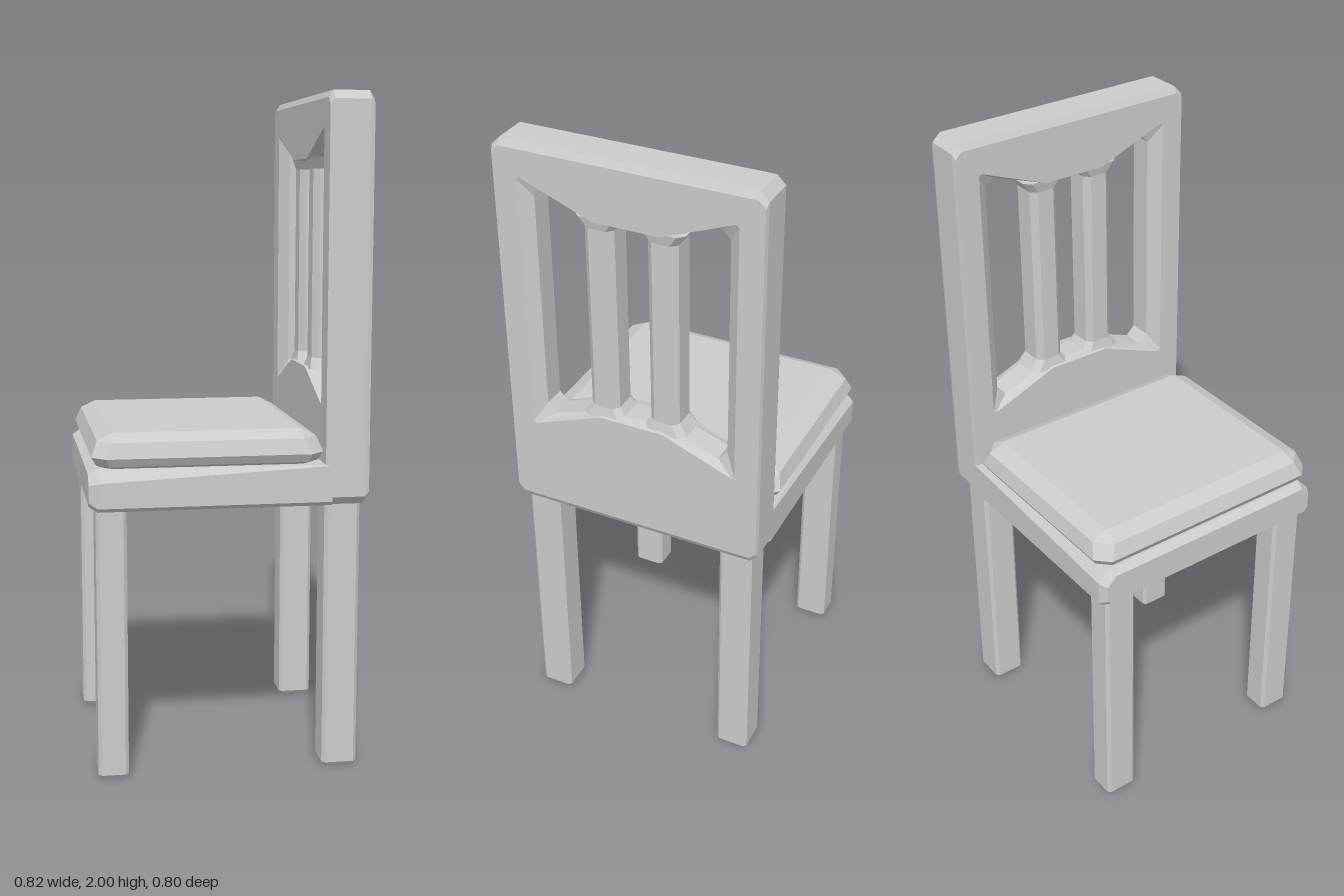
import * as THREE from 'three';

const X = new THREE.Vector3(1, 0, 0), Y = new THREE.Vector3(0, 1, 0), Z = new THREE.Vector3(0, 0, 1);
// Local z becomes the run direction of the part
const ALONG_X = new THREE.Matrix4().makeBasis(Y, Z, X); // outline is [y, z]
const ALONG_Y = new THREE.Matrix4().makeBasis(Z, X, Y); // outline is [z, x]

const material = new THREE.MeshStandardMaterial({ color: 0xcccccc, flatShading: true });

// Skin between outlines [{ t, pts }], counter-clockwise around the run direction
function loft(rings, capped = true) {
  const out = [];
  const put = (r, p) => out.push(p[0], p[1], r.t);
  const n = rings[0].pts.length;
  for (let i = 0; i + 1 < rings.length; i++) {
    const r = rings[i], s = rings[i + 1];
    for (let j = 0; j < n; j++) {
      const k = (j + 1) % n;
      put(r, r.pts[j]); put(r, r.pts[k]); put(s, s.pts[k]);
      put(r, r.pts[j]); put(s, s.pts[k]); put(s, s.pts[j]);
    }
  }
  if (capped) {
    const a = rings[0], b = rings[rings.length - 1];
    for (let j = 1; j + 1 < n; j++) {
      put(a, a.pts[0]); put(a, a.pts[j + 1]); put(a, a.pts[j]);
      put(b, b.pts[0]); put(b, b.pts[j]); put(b, b.pts[j + 1]);
    }
  }
  const g = new THREE.BufferGeometry();
  g.setAttribute('position', new THREE.Float32BufferAttribute(out, 3));
  g.computeVertexNormals();
  return g;
}

// Rectangle (half sizes a, b) with corners cut by c
const octagon = (a, b, c) => [
  [a, c - b], [a, b - c], [a - c, b], [c - a, b],
  [-a, b - c], [-a, c - b], [c - a, -b], [a - c, -b],
];

function part(name, geometry, axis, x, y, z) {
  const mesh = new THREE.Mesh(geometry.applyMatrix4(axis), material);
  mesh.name = name;
  mesh.position.set(x, y, z);
  return mesh;
}

// Six-sided window outline, taller at its sides: outer corner [u, v] cut by c
function windowOutline(u, v, c, mid) {
  const half = [[mid, 0.1], [u, v - c], [u - c, v], [c - u, v], [-u, v - c], [-mid, 0.1]];
  return [...half, ...half.map(([p, q]) => [-p, -q])].map(([p, q]) => [p + 0.095, q]);
}

function createBackrest() {
  const group = new THREE.Group();
  group.name = 'backrest';
  const at = [0.345, 1.405, 0];
  const depth = 0.065;

  // Outer rim, chamfered on all edges
  const face = octagon(0.575, 0.396, 0.02), full = octagon(0.595, 0.4, 0.025);
  group.add(part('backrestRim', loft([
    { t: -depth, pts: face }, { t: -0.053, pts: full },
    { t: 0.053, pts: full }, { t: depth, pts: face },
  ], false), ALONG_X, ...at));

  // Window lining, narrowing inwards
  const wide = windowOutline(0.4, 0.325, 0.008, 0.315).reverse();
  const narrow = windowOutline(0.365, 0.29, 0.028, 0.308).reverse();
  group.add(part('windowLining', loft([
    { t: -depth, pts: wide }, { t: -0.035, pts: narrow },
    { t: 0.035, pts: narrow }, { t: depth, pts: wide },
  ], false), ALONG_X, ...at));

  // Front and rear faces with the window cut out
  const points = (list) => list.map(([u, v]) => new THREE.Vector2(u, v));
  const shape = new THREE.Shape(points(face));
  shape.holes.push(new THREE.Path(points(wide)));
  const rear = new THREE.ShapeGeometry(shape).translate(0, 0, depth);
  group.add(part('backrestFront', rear.clone().rotateX(Math.PI), ALONG_X, ...at));
  group.add(part('backrestRear', rear, ALONG_X, ...at));

  // Two upright slats, flared where they meet the frame
  const thin = octagon(0.045, 0.05, 0.018), flare = octagon(0.07, 0.058, 0.02);
  for (const side of [-1, 1]) {
    group.add(part('slat', loft([
      { t: -0.32, pts: flare }, { t: -0.285, pts: thin },
      { t: 0.285, pts: thin }, { t: 0.32, pts: flare },
    ]), ALONG_Y, 0.345, 1.5, side * 0.095));
  }
  return group;
}

// Seat section [y, z]: the upper side bevel has height b
function seatSection(b, inset) {
  const w = 0.4 - inset, top = 0.932 - inset, low = 0.81 + inset;
  return [[top, -w + b], [top, w - b], [top - b, w], [low + 0.012, w],
    [low, w - 0.012], [low, -w + 0.012], [low + 0.012, -w], [top - b, -w]];
}

export function createModel() {
  const chair = new THREE.Group();
  chair.name = 'chair';
  chair.add(createBackrest());

  // Seat, its bevel fading out towards the backrest
  chair.add(part('seat', loft([
    { t: -0.41, pts: seatSection(0.03, 0.015) },
    { t: -0.385, pts: seatSection(0.037, 0) },
    { t: 0.3, pts: seatSection(0.003, 0) },
  ]), ALONG_X, 0, 0, 0));

  // Cushion
  chair.add(part('cushion', loft([
    { t: 0.922, pts: octagon(0.345, 0.285, 0.02) },
    { t: 0.94, pts: octagon(0.385, 0.325, 0.035) },
    { t: 0.965, pts: octagon(0.4, 0.34, 0.04) },
    { t: 1.01, pts: octagon(0.385, 0.322, 0.045) },
    { t: 1.032, pts: octagon(0.336, 0.278, 0.005) },
  ]), ALONG_Y, -0.06, 0, 0));

  // Legs with slightly cut edges
  for (const side of [-1, 1]) {
    for (const [name, x, half] of [['frontLeg', -0.345, 0.045], ['backLeg', 0.337, 0.053]]) {
      chair.add(part(name, loft([
        { t: 0, pts: octagon(0.043, half - 0.01, 0.008) },
        { t: 0.012, pts: octagon(0.052, half, 0.01) },
        { t: 0.83, pts: octagon(0.052, half, 0.01) },
      ]), ALONG_Y, x, 0, side * 0.323));
    }
  }
  return chair;
}
